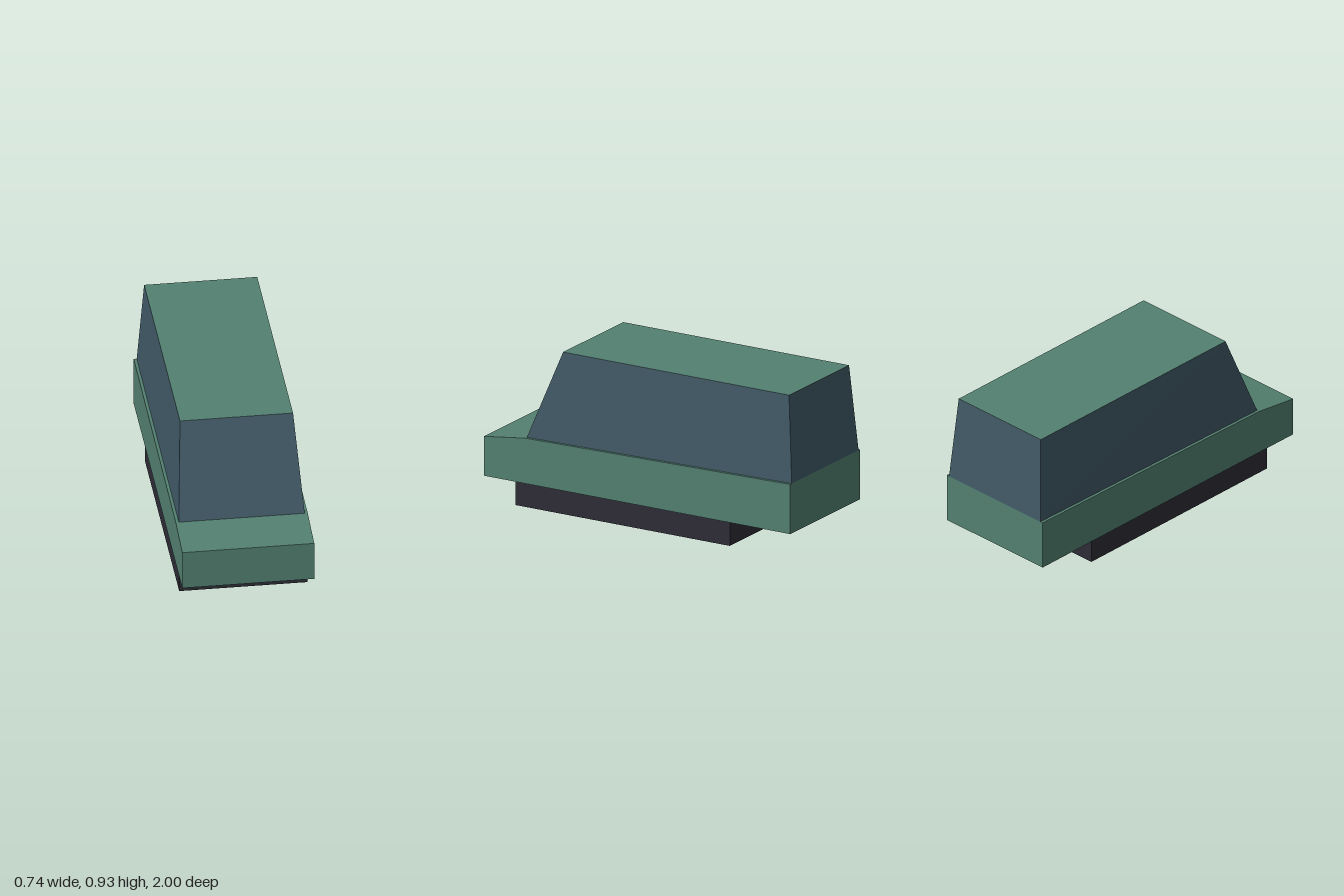
import * as THREE from 'three';

const flat = (name, color) => {
  const m = new THREE.MeshStandardMaterial({ color, side: THREE.DoubleSide });
  m.name = name;
  return m;
};

// Rectangular ring of corners: half width, back and front z, back and front height
const ring = (w, zb, zf, yb, yf = yb) => [
  [-w, yf, zf], [w, yf, zf], [w, yb, zb], [-w, yb, zb],
];

// Flat-shaded surface from four-cornered faces, counter-clockwise from outside
function quads(name, faces, material) {
  const points = faces.flatMap(([a, b, c, d]) => [a, b, c, a, c, d]);
  const geo = new THREE.BufferGeometry();
  geo.setAttribute('position', new THREE.Float32BufferAttribute(points.flat(), 3));
  geo.computeVertexNormals();
  const mesh = new THREE.Mesh(geo, material);
  mesh.name = name;
  return mesh;
}

// Four walls between a lower and an upper ring
const walls = (lo, hi) => lo.map((p, i) => {
  const j = (i + 1) % 4;
  return [p, lo[j], hi[j], hi[i]];
});

export function createModel() {
  const green = flat('green paint', 0x538070);
  const glass = flat('blue grey glass', 0x405865);
  const dark = flat('dark underframe', 0x2d2c36);
  const model = new THREE.Group();
  model.name = 'van';

  // Underframe: an open skirt where the wheels would be
  model.add(quads('underframe', walls(ring(0.36, -0.6, 0.8, 0), ring(0.36, -0.6, 0.8, 0.14)), dark));

  // Lower body: open below, with a gently rising deck and a sloping bonnet
  const W = 0.37, bend = 0.73, yBend = 0.405, yBack = 0.43, yNose = 0.37;
  const rearLo = ring(W, -1, bend, 0.14), rearHi = ring(W, -1, bend, yBack, yBend);
  const noseLo = ring(W, bend, 1, 0.14), noseHi = ring(W, bend, 1, yBend, yNose);
  const rear = walls(rearLo, rearHi), nose = walls(noseLo, noseHi);
  model.add(quads('lowerBody', [rear[1], rear[2], rear[3], nose[0], nose[1], nose[3]], green));
  model.add(quads('deck', [rearHi], green));
  model.add(quads('bonnet', [noseHi], green));

  // Cabin: tapering glass walls under a painted roof
  const sill = ring(0.353, -1, bend, yBack, yBend);
  const eaves = ring(0.317, -0.96, 0.515, 0.93);
  model.add(quads('windows', walls(sill, eaves), glass));
  model.add(quads('roof', [eaves], green));
  return model;
}
